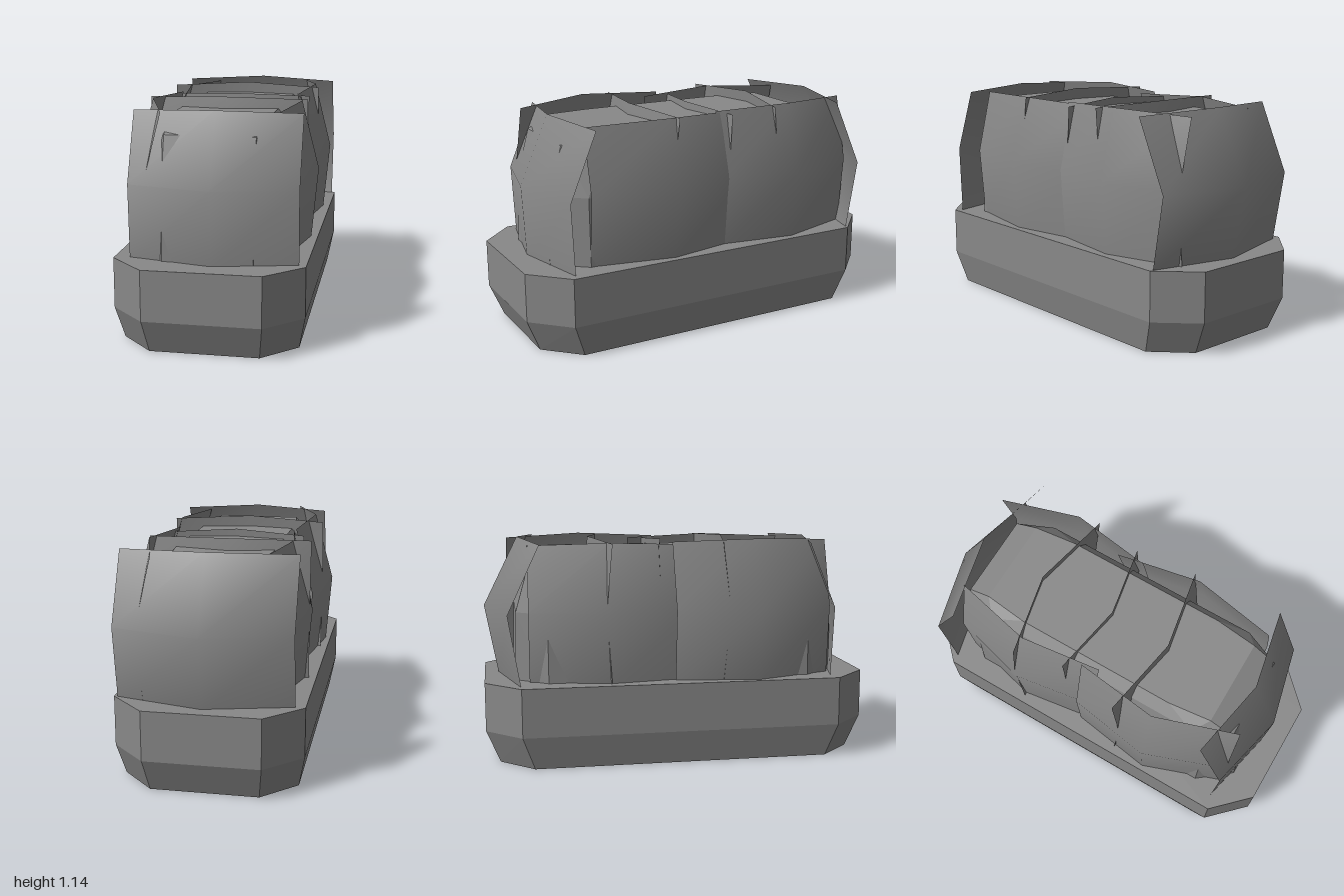
import * as THREE from 'three';
import { ConvexGeometry } from 'three/addons/geometries/ConvexGeometry.js';

const solid = new THREE.MeshStandardMaterial({ color: 0x888888, flatShading: true });
const sheet = new THREE.MeshStandardMaterial({ color: 0x888888, side: THREE.DoubleSide });

// Octagon at height y: half sizes hx, hz with corners cut at cx, cz
function octagon(y, hx, hz, cx, cz) {
  const pts = [];
  for (const sx of [-1, 1]) for (const sz of [-1, 1]) {
    pts.push(new THREE.Vector3(sx * cx, y, sz * hz), new THREE.Vector3(sx * hx, y, sz * cz));
  }
  return pts;
}

function block(name, rings) {
  const mesh = new THREE.Mesh(new ConvexGeometry(rings.flatMap(r => octagon(...r))), solid);
  mesh.name = name;
  return mesh;
}

// Thin bowed sheet facing local +z: bow pulls the ends back,
// top and bottom are how far those edges lean back from the middle row
function panel({ name, x, z, turn = 0, half, bow, top, bottom, height = 1.125 }) {
  const geo = new THREE.PlaneGeometry(2, 2, 2, 2);
  const p = geo.attributes.position;
  for (let i = 0; i < p.count; i++) {
    const u = p.getX(i), v = p.getY(i);
    const y = v > 0.5 ? height - 0.015 * Math.abs(u) : v < -0.5 ? 0.40 : 0.78;
    const lean = v > 0.5 ? top : v < -0.5 ? bottom : 0;
    p.setXYZ(i, u * half, y, -bow * Math.abs(u) - lean * (1 - 0.1 * Math.abs(u)));
  }
  geo.computeVertexNormals();
  const mesh = new THREE.Mesh(geo, sheet);
  mesh.name = name;
  mesh.position.set(x, 0, z);
  mesh.rotation.y = turn;
  return mesh;
}

export function createModel() {
  const model = new THREE.Group();
  model.name = 'paneledTub';
  const q = Math.PI / 2;

  // Tapered octagonal base and the chamfered core standing on it
  model.add(block('base', [
    [0, 0.432, 0.93, 0.265, 0.76],
    [0.17, 0.465, 1, 0.285, 0.82],
    [0.42, 0.465, 1, 0.285, 0.82],
  ]));
  model.add(block('core', [
    [0.40, 0.355, 0.845, 0.22, 0.68],
    [0.77, 0.345, 0.835, 0.22, 0.68],
    [1.015, 0.30, 0.765, 0.22, 0.58],
    [1.08, 0.25, 0.64, 0.225, 0.42],
  ]));

  const panels = [
    // End panels
    { name: 'frontPanel', x: 0.02, z: 0.905, half: 0.41, bow: 0.095, top: 0.155, bottom: 0.018, height: 1.133 },
    { name: 'backPanel', x: 0.015, z: -0.995, turn: Math.PI, half: 0.432, bow: 0.115, top: 0.18, bottom: 0.07, height: 1.14 },
    // Side panels, two on each side
    { name: 'leftFrontPanel', x: 0.463, z: 0.245, turn: q, half: 0.435, bow: 0.085, top: 0.09, bottom: 0.035 },
    { name: 'leftBackPanel', x: 0.46, z: -0.47, turn: q + 0.07, half: 0.41, bow: 0.095, top: 0.09, bottom: 0.035, height: 1.135 },
    { name: 'rightFrontPanel', x: -0.467, z: 0.40, turn: -q + 0.1, half: 0.42, bow: 0.11, top: 0.1, bottom: 0.03, height: 1.14 },
    { name: 'rightBackPanel', x: -0.44, z: -0.37, turn: -q - 0.05, half: 0.41, bow: 0.085, top: 0.1, bottom: 0.035 },
    // Cross dividers
    { name: 'frontDivider', x: -0.015, z: 0.325, half: 0.412, bow: 0.08, top: 0.045, bottom: 0.04, height: 1.14 },
    { name: 'middleDivider', x: 0.005, z: -0.03, half: 0.365, bow: -0.07, top: -0.03, bottom: -0.03, height: 1.12 },
    { name: 'backDivider', x: -0.015, z: -0.48, turn: Math.PI, half: 0.412, bow: 0.09, top: 0.035, bottom: 0.03, height: 1.14 },
  ].map(p => p.name === 'middleDivider' ? { ...p, bow: 0.07, top: 0.02, bottom: 0.02 } : p);
  for (const p of panels) model.add(panel(p));
  return model;
}
